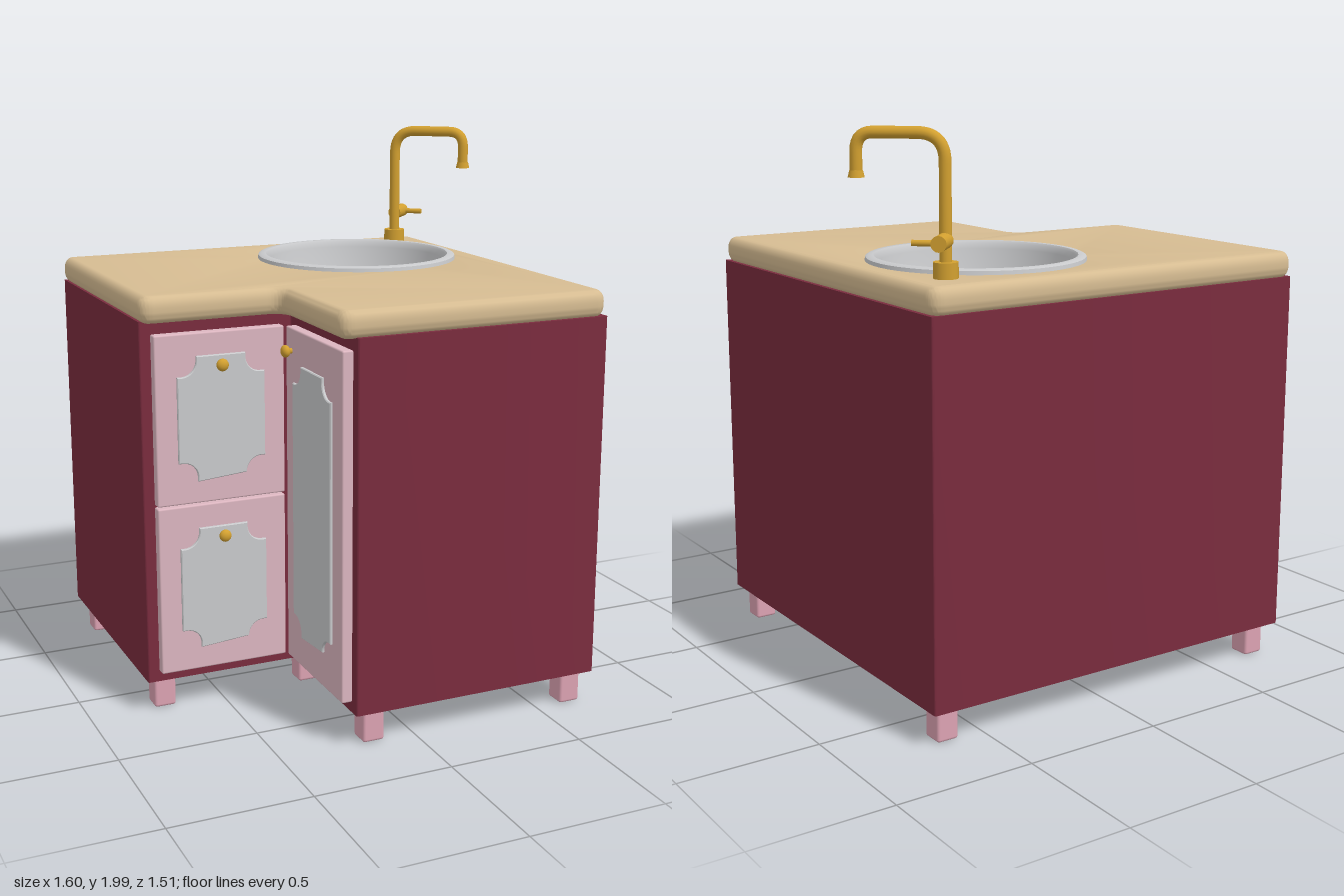
import * as THREE from 'three';
import { toCreasedNormals } from 'three/addons/utils/BufferGeometryUtils.js';
import { RoundedBoxGeometry } from 'three/addons/geometries/RoundedBoxGeometry.js';

const V = (x, y, z = 0) => new THREE.Vector3(x, y, z);

export function createModel() {
  const mat = (name, color) => Object.assign(new THREE.MeshStandardMaterial({ color }), { name });
  const burgundy = mat('burgundy', 0x7a2c3e);
  const wood = mat('wood', 0xd6bc92);
  const doorPink = mat('doorPink', 0xdcb6c0);
  const legPink = mat('legPink', 0xdca2b2);
  const steel = mat('steel', 0xc9cacc);
  steel.side = THREE.DoubleSide;
  const gold = mat('gold', 0xd2a030);

  const model = new THREE.Group();
  model.name = 'cornerSinkCabinet';
  const add = (parent, name, geometry, material, x = 0, y = 0, z = 0) => {
    const mesh = new THREE.Mesh(geometry, material);
    mesh.name = name;
    mesh.position.set(x, y, z);
    parent.add(mesh);
    return mesh;
  };

  // L-shaped plan with rounded corners, drawn as (x, -z)
  const planL = (x0, x1, z0, z1, nx, nz, r, Type = THREE.Shape) => {
    const pts = [[x0, -nz], [nx, -nz], [nx, -z1], [x1, -z1], [x1, -z0], [x0, -z0]]
      .map(p => new THREE.Vector2(...p));
    const s = new Type();
    pts.forEach((p, i) => {
      const toward = q => q.clone().sub(p).setLength(r).add(p);
      const a = toward(pts[(i + 5) % 6]), b = toward(pts[(i + 1) % 6]);
      if (i) s.lineTo(a.x, a.y); else s.moveTo(a.x, a.y);
      s.quadraticCurveTo(p.x, p.y, b.x, b.y);
    });
    s.closePath();
    return s;
  };
  const slab = (shape, depth, options) => toCreasedNormals(
    new THREE.ExtrudeGeometry(shape, { depth, bevelEnabled: false, curveSegments: 8, ...options })
      .rotateX(-Math.PI / 2), 0.6);

  // Hollow cabinet with a closed floor
  const walls = planL(-0.795, 0.71, -0.755, 0.755, -0.235, 0.2, 0.008);
  walls.holes.push(planL(-0.755, 0.67, -0.715, 0.715, -0.195, 0.16, 0.008, THREE.Path));
  add(model, 'cabinetWalls', slab(walls, 1.31), burgundy, 0, 0.125, 0);
  add(model, 'cabinetFloor', slab(planL(-0.78, 0.695, -0.74, 0.74, -0.22, 0.185, 0.008), 0.04),
    burgundy, 0, 0.126, 0);

  // Worktop with rounded edge and sink cutout
  const sinkX = 0.245, sinkZ = -0.29;
  const top = planL(-0.8, 0.71, -0.76, 0.755, -0.295, 0.25, 0.05);
  top.holes.push(new THREE.Path().absarc(sinkX, -sinkZ, 0.35, 0, Math.PI * 2, true));
  add(model, 'worktop', slab(top, 0.015, {
    bevelEnabled: true, bevelSize: 0.03, bevelOffset: -0.03, bevelThickness: 0.04,
    bevelSegments: 6, curveSegments: 16,
  }), wood, 0, 1.47, 0);

  // Legs
  for (const [x, z] of [[-0.72, -0.675], [-0.72, 0.12], [-0.155, 0.12],
    [-0.155, 0.685], [0.635, 0.685], [0.635, -0.675]])
    add(model, 'leg', new RoundedBoxGeometry(0.08, 0.125, 0.08, 2, 0.01), legPink, x, 0.0675, z);

  // Raised panel outline with scooped corners
  const panelShape = (w, h) => {
    const s = new THREE.Shape(), r = 0.055, step = 0.015, q = Math.PI / 2;
    [[1, -1], [1, 1], [-1, 1], [-1, -1]].forEach(([sx, sy], k) => {
      const cx = sx * (w / 2 - step), cy = sy * (h / 2 - step);
      const point = (arcAngle, outAngle) => [
        cx + r * Math.cos(arcAngle) + step * Math.cos(outAngle),
        cy + r * Math.sin(arcAngle) + step * Math.sin(outAngle)];
      const start = Math.PI + k * q;
      const p = point(start, (k - 1) * q);
      if (k) s.lineTo(...p); else s.moveTo(...p);
      s.absarc(cx, cy, r, start, start - q, true);
      s.lineTo(...point(start - q, k * q));
    });
    s.closePath();
    return s;
  };

  // Door centred on its own origin, back at z = 0
  const door = (name, h, panelH, knobX, knobY) => {
    const g = new THREE.Group();
    g.name = name;
    add(g, 'doorSlab', new RoundedBoxGeometry(0.475, h, 0.04, 2, 0.006), doorPink, 0, 0, 0.02);
    add(g, 'doorPanel', new THREE.ExtrudeGeometry(panelShape(0.32, panelH), {
      depth: 0.007, bevelThickness: 0.003, bevelSize: 0.003, bevelOffset: -0.003, bevelSegments: 1,
    }), steel, 0, 0, 0.04);
    add(g, 'knobStem', new THREE.CylinderGeometry(0.01, 0.01, 0.03, 12).rotateX(Math.PI / 2),
      gold, knobX, knobY, 0.05);
    add(g, 'knob', new THREE.SphereGeometry(0.022, 20, 14).scale(1, 1, 0.75), gold, knobX, knobY, 0.063);
    model.add(g);
    return g;
  };
  door('upperDoor', 0.605, 0.445, 0, 0.1875).position.set(-0.5175, 1.0875, 0.2);
  door('lowerDoor', 0.612, 0.445, 0, 0.188).position.set(-0.5175, 0.472, 0.2);
  const side = door('sideDoor', 1.225, 0.99, -0.1875, 0.5325);
  side.position.set(-0.235, 0.7775, 0.4825);
  side.rotation.y = -Math.PI / 2;

  // Round sink bowl and drain
  const bowl = [[0, 1.24], [0.275, 1.24], [0.287, 1.245], [0.296, 1.26], [0.342, 1.515], [0.346, 1.535],
    [0.352, 1.543], [0.37, 1.543], [0.38, 1.538], [0.383, 1.52]].map(p => new THREE.Vector2(...p));
  add(model, 'sinkBowl', toCreasedNormals(new THREE.LatheGeometry(bowl, 48), 0.7), steel, sinkX, 0, sinkZ);
  add(model, 'drainRing', new THREE.TorusGeometry(0.034, 0.004, 6, 24).rotateX(Math.PI / 2),
    steel, sinkX, 1.241, sinkZ);
  add(model, 'drain', new THREE.CylinderGeometry(0.022, 0.022, 0.006, 20), legPink, sinkX, 1.242, sinkZ);

  // Faucet, swung diagonally across the corner
  const faucet = new THREE.Group();
  faucet.name = 'faucet';
  faucet.position.set(0.567, 0, -0.608);
  faucet.rotation.y = -Math.PI / 4;
  model.add(faucet);
  add(faucet, 'faucetBase', new THREE.CylinderGeometry(0.041, 0.041, 0.055, 24), gold, 0, 1.55, 0);
  const path = new THREE.CurvePath();
  path.add(new THREE.LineCurve3(V(0, 1.55), V(0, 1.89)));
  path.add(new THREE.QuadraticBezierCurve3(V(0, 1.89), V(0, 1.98), V(0.09, 1.98)));
  path.add(new THREE.LineCurve3(V(0.09, 1.98), V(0.23, 1.98)));
  path.add(new THREE.QuadraticBezierCurve3(V(0.23, 1.98), V(0.288, 1.98), V(0.288, 1.92)));
  path.add(new THREE.LineCurve3(V(0.288, 1.92), V(0.288, 1.85)));
  add(faucet, 'spout', new THREE.TubeGeometry(path, 64, 0.02, 14), gold);
  add(faucet, 'spoutTip', new THREE.CylinderGeometry(0.022, 0.027, 0.022, 20), gold, 0.288, 1.849, 0);
  add(faucet, 'valve', new THREE.CylinderGeometry(0.026, 0.026, 0.1, 20).rotateX(Math.PI / 2),
    gold, 0, 1.645, -0.05);
  add(faucet, 'lever', new THREE.CylinderGeometry(0.01, 0.01, 0.09, 12).rotateZ(Math.PI / 2),
    gold, 0.045, 1.645, -0.08);

  return model;
}
